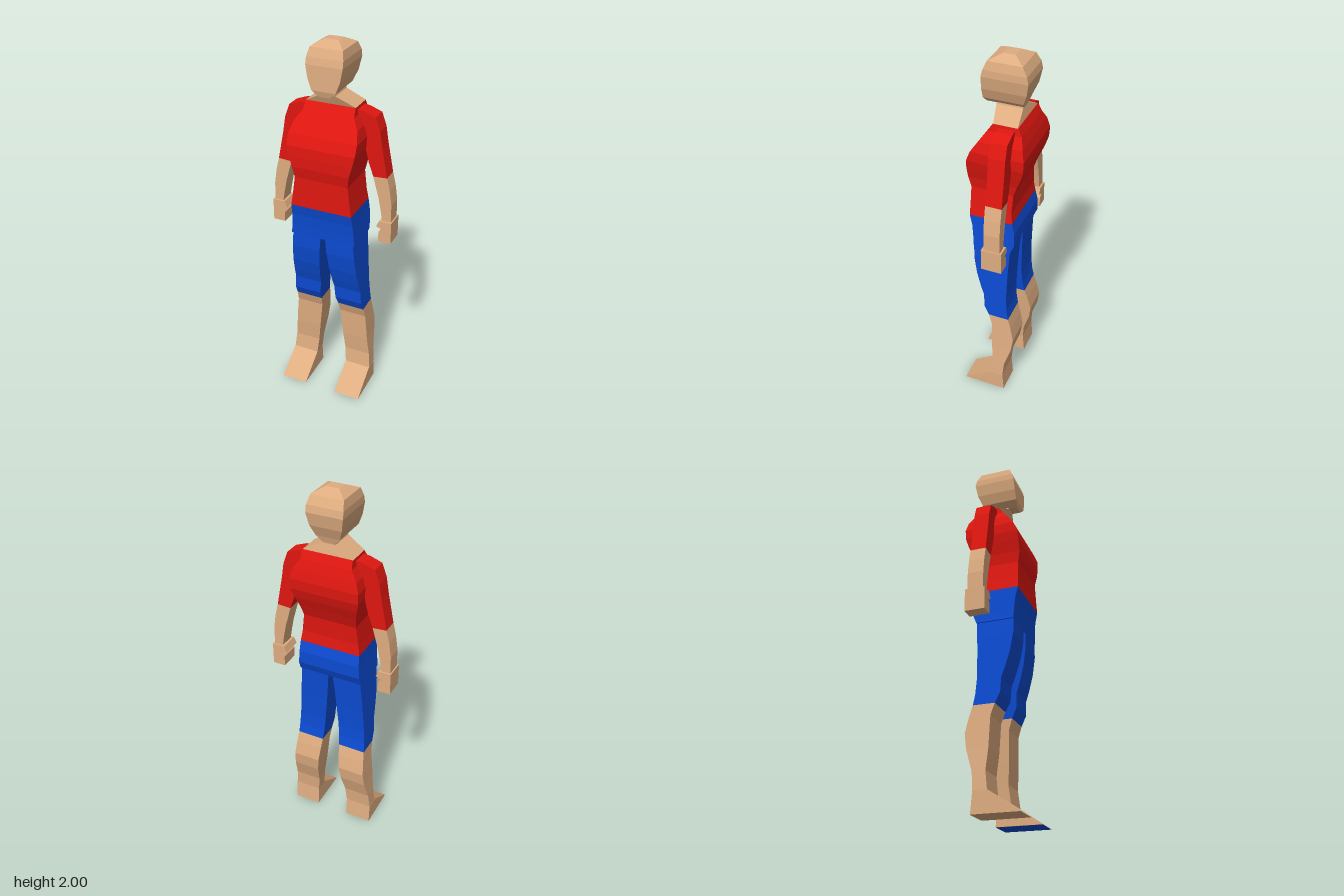
import * as THREE from 'three';

const material = (color) => new THREE.MeshStandardMaterial({ color, flatShading: true });

// Stacked rectangles, top to bottom; each row is [y, x0, x1, zBack, zFront]
function loft(rows) {
  const pos = [], index = [];
  for (const [y, x0, x1, zb, zf] of rows) pos.push(x0, y, zf, x1, y, zf, x1, y, zb, x0, y, zb);
  for (let r = 0; r < rows.length - 1; r++) {
    for (let k = 0; k < 4; k++) {
      const n = (k + 1) % 4, up = r * 4, low = up + 4;
      index.push(low + k, low + n, up + n, low + k, up + n, up + k);
    }
  }
  const e = (rows.length - 1) * 4;
  index.push(0, 1, 2, 0, 2, 3, e, e + 2, e + 1, e, e + 3, e + 2);
  const indexed = new THREE.BufferGeometry();
  indexed.setAttribute('position', new THREE.Float32BufferAttribute(pos, 3));
  indexed.setIndex(index);
  const geo = indexed.toNonIndexed();
  geo.computeVertexNormals();
  return geo;
}

// Centred rows: [y, halfWidth, zBack, zFront]
const centred = (rows) => loft(rows.map(([y, w, zb, zf]) => [y, -w, w, zb, zf]));

// Rows for one side of the body, mirrored for side = -1
const sided = (rows, side) => loft(rows.map(([y, a, b, zb, zf]) =>
  side > 0 ? [y, a, b, zb, zf] : [y, -b, -a, zb, zf]));

// Front outline given thickness along z
function slab(points, side, z0, z1) {
  const shape = new THREE.Shape(points.map(([x, y]) => new THREE.Vector2(x * side, y)));
  const geo = new THREE.ExtrudeGeometry(shape, { depth: z1 - z0, bevelEnabled: false });
  return geo.translate(0, 0, z0);
}

export function createModel() {
  const skin = material(0xdeac80), red = material(0xdf1710), blue = material(0x0c4bd2);
  const model = new THREE.Group();
  model.name = 'figure';
  const add = (parent, name, geo, mat) => {
    const mesh = new THREE.Mesh(geo, mat);
    mesh.name = name;
    parent.add(mesh);
    return mesh;
  };

  add(model, 'head', centred([
    [2.0, 0.035, -0.06, 0.0],
    [1.972, 0.084, -0.112, 0.06],
    [1.93, 0.094, -0.136, 0.078],
    [1.895, 0.095, -0.143, 0.087],
    [1.83, 0.083, -0.131, 0.09],
    [1.775, 0.062, -0.108, 0.092],
    [1.745, 0.03, -0.1, 0.084],
  ]), skin);
  add(model, 'neck', centred([
    [1.765, 0.03, -0.1, 0.035],
    [1.74, 0.035, -0.098, 0.035],
    [1.69, 0.132, -0.11, 0.012],
  ]), skin);
  add(model, 'shirt', centred([
    [1.69, 0.131, -0.112, 0.012],
    [1.65, 0.135, -0.132, 0.04],
    [1.6, 0.168, -0.148, 0.075],
    [1.545, 0.183, -0.16, 0.112],
    [1.49, 0.181, -0.157, 0.134],
    [1.44, 0.17, -0.142, 0.138],
    [1.38, 0.153, -0.117, 0.138],
    [1.32, 0.144, -0.095, 0.127],
    [1.22, 0.157, -0.091, 0.129],
    [1.16, 0.166, -0.098, 0.131],
  ]), red);
  add(model, 'hips', centred([
    [1.16, 0.166, -0.098, 0.131],
    [1.1, 0.169, -0.111, 0.118],
    [1.03, 0.174, -0.111, 0.112],
    [0.98, 0.178, -0.09, 0.11],
  ]), blue);

  for (const side of [1, -1]) {
    const label = side > 0 ? 'left' : 'right';

    // Leg, with shorts ending at the knee
    const leg = new THREE.Group();
    leg.name = label + 'Leg';
    model.add(leg);
    add(leg, 'shortsLeg', sided([
      [0.99, 0.012, 0.17, -0.09, 0.11],
      [0.9, 0.02, 0.177, -0.084, 0.109],
      [0.8, 0.028, 0.184, -0.079, 0.093],
      [0.72, 0.035, 0.189, -0.077, 0.071],
      [0.66, 0.04, 0.193, -0.076, 0.051],
      [0.585, 0.046, 0.198, -0.081, 0.048],
      [0.53, 0.051, 0.201, -0.091, 0.022],
    ], side), blue);
    add(leg, 'calf', sided([
      [0.53, 0.051, 0.201, -0.091, 0.022],
      [0.47, 0.056, 0.206, -0.108, 0.002],
      [0.39, 0.064, 0.213, -0.125, 0.0],
      [0.31, 0.072, 0.219, -0.114, -0.002],
      [0.2, 0.084, 0.23, -0.079, -0.011],
      [0.11, 0.092, 0.237, -0.071, 0.0],
    ], side), skin);
    add(leg, 'foot', sided([
      [0.11, 0.092, 0.238, -0.071, 0.0],
      [0.001, 0.092, 0.238, -0.08, 0.16],
    ], side), skin);
    const sole = add(leg, 'sole', new THREE.PlaneGeometry(0.146, 0.24), side > 0 ? blue : skin);
    sole.rotation.x = Math.PI / 2;
    sole.position.set(0.165 * side, 0, 0.04);

    // Arm, of constant thickness; the right one sits slightly further forward
    const arm = new THREE.Group();
    arm.name = label + 'Arm';
    if (side < 0) arm.position.set(-0.004, 0, 0.016);
    model.add(arm);
    add(arm, 'sleeve', slab([
      [0.128, 1.675], [0.165, 1.67], [0.225, 1.648], [0.25, 1.58], [0.263, 1.5],
      [0.295, 1.34], [0.222, 1.335], [0.195, 1.41], [0.175, 1.49], [0.13, 1.62],
    ], side, -0.096, -0.012), red);
    add(arm, 'forearm', slab([
      [0.222, 1.335], [0.295, 1.34], [0.312, 1.27], [0.324, 1.19], [0.325, 1.09],
      [0.278, 1.09], [0.268, 1.15], [0.254, 1.22], [0.237, 1.28],
    ], side, -0.096, -0.012), skin);
    add(arm, 'hand', slab([
      [0.265, 1.095], [0.332, 1.095], [0.332, 0.975], [0.265, 0.975],
      [0.264, 1.03], [0.283, 1.05], [0.25, 1.062],
    ], side, -0.106, 0.0), skin);
  }
  return model;
}
